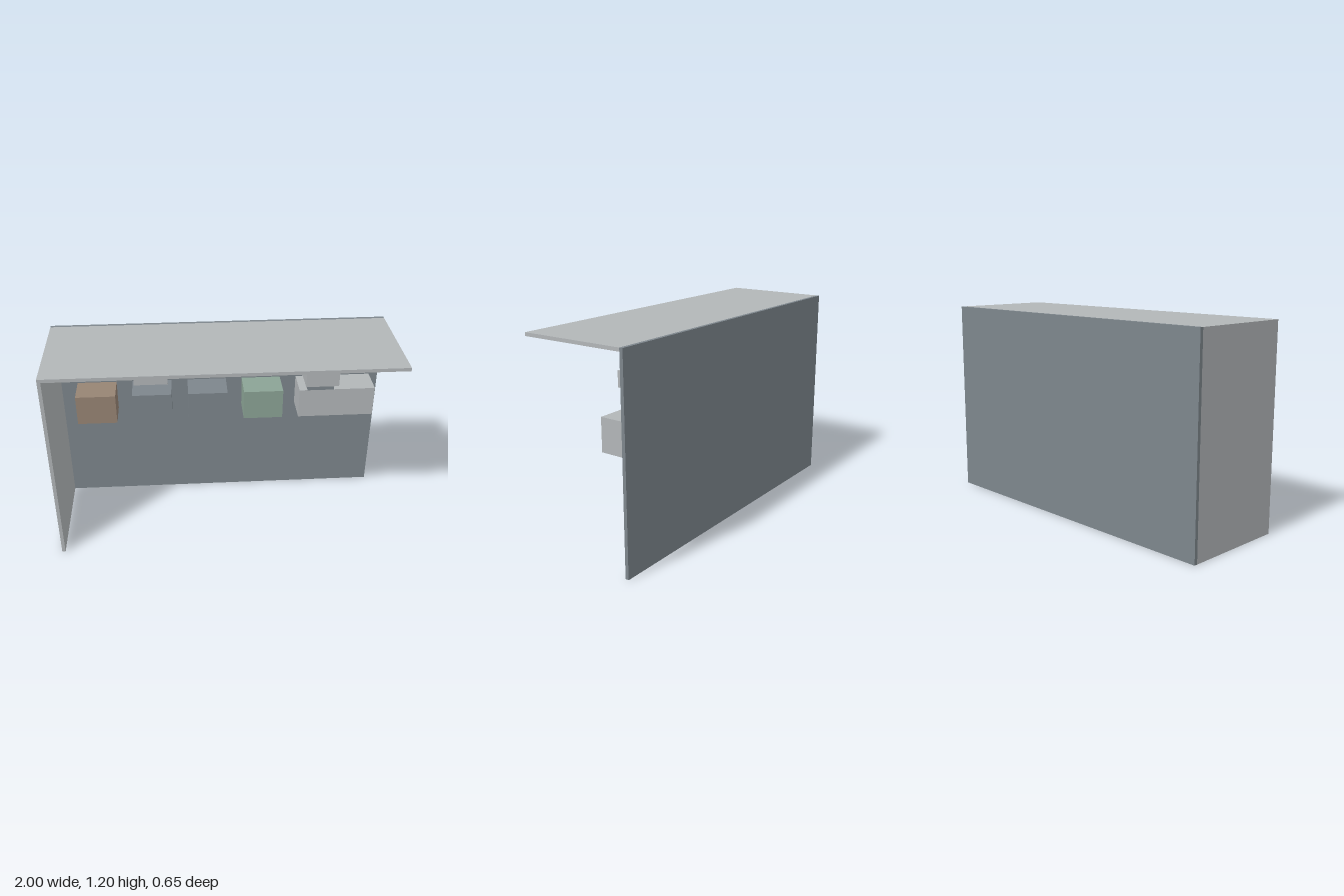
import * as THREE from 'three';

function material(name, color) {
  const m = new THREE.MeshStandardMaterial({ color });
  m.name = name;
  return m;
}

export function createModel() {
  const model = new THREE.Group();
  model.name = 'wallDisplay';
  const light = material('lightGrey', 0xb2b6b8);
  const slate = material('slateGrey', 0x7d868c);
  const brown = material('brown', 0x978474);
  const green = material('green', 0x8ba395);

  // Box given by its [min, max] range on each axis
  function box(name, mat, [x0, x1], [y0, y1], [z0, z1]) {
    const mesh = new THREE.Mesh(new THREE.BoxGeometry(x1 - x0, y1 - y0, z1 - z0), mat);
    mesh.position.set((x0 + x1) / 2, (y0 + y1) / 2, (z0 + z1) / 2);
    mesh.name = name;
    model.add(mesh);
  }

  const wall = -0.305; // front surface of the back wall
  const front = 0.325;

  // Shell: back wall, one side wall and roof
  box('backWall', slate, [-1, 1], [0, 1.2], [-0.325, wall]);
  box('sideWall', light, [-1, -0.98], [0, 1.18], [wall, front]);
  box('roof', light, [-1, 1], [1.18, 1.2], [wall, front]);

  // Row of wall-mounted cabinets
  [brown, slate, slate, green].forEach((mat, i) => {
    const x = -0.88 + i * 0.34;
    box('cabinet' + (i + 1), mat, [x, x + 0.24], [0.63, 0.817], [wall, -0.125]);
  });
  box('wideCabinet', light, [0.48, 0.945], [0.63, 0.817], [wall, -0.125]);

  // Hood with a recessed underside
  box('hood', light, [0.5, 0.697], [0.897, 0.99], [wall, -0.025]);
  box('hoodUnderside', slate, [0.518, 0.677], [0.85, 0.897], [-0.255, -0.067]);

  // Thin hanging panel
  box('panel', light, [-0.522, -0.32], [0.907, 1.02], [-0.125, -0.095]);

  return model;
}
